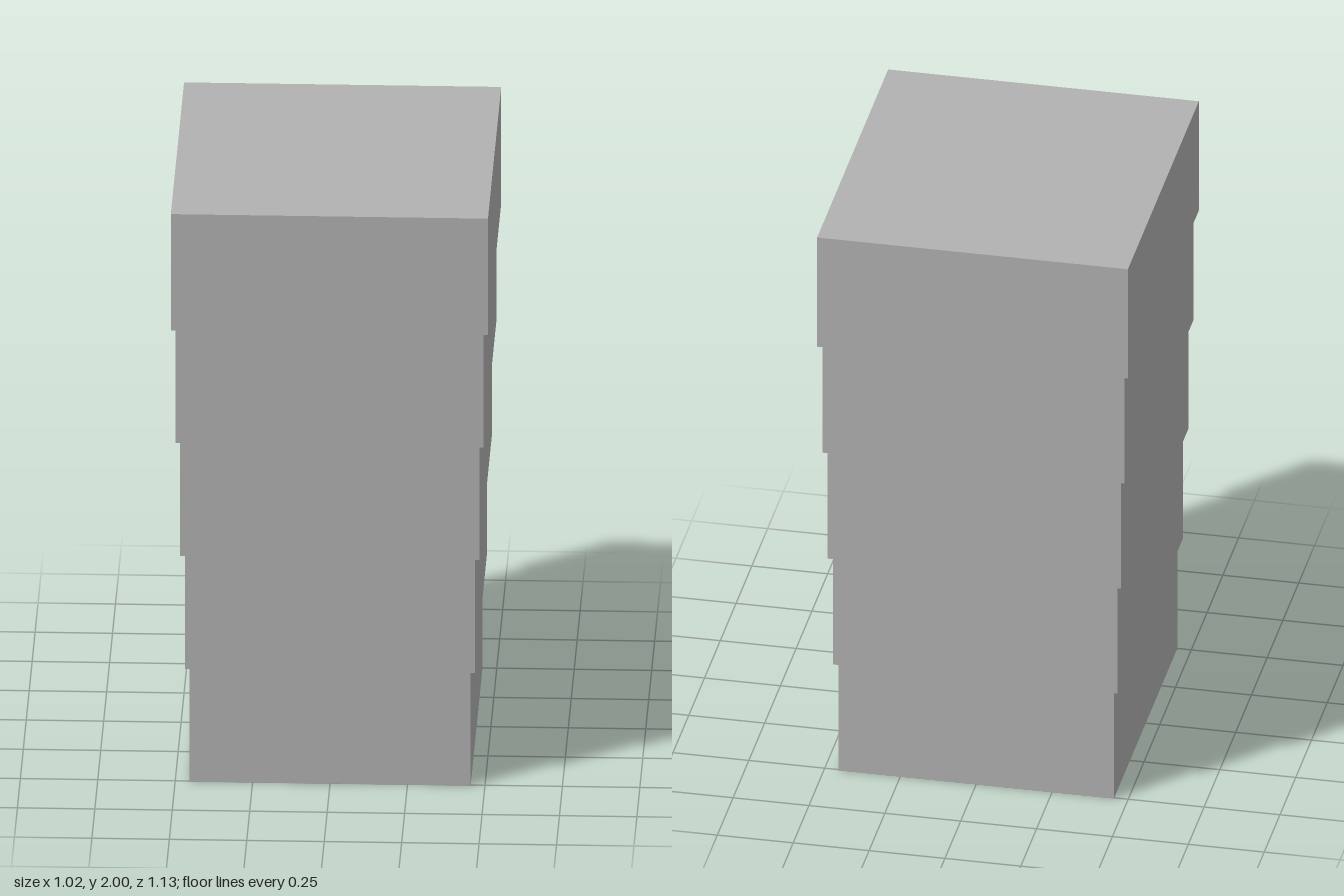
import * as THREE from 'three';

export function createModel() {
  const group = new THREE.Group();
  group.name = 'steppedTower';
  const grey = new THREE.MeshStandardMaterial({ color: 0xb2b2b2 });
  grey.name = 'grey';

  // Five stacked blocks, each slightly wider than the one below and overlapping it a little
  const count = 5, pitch = 0.3988, height = 2 - pitch * (count - 1);
  for (let i = 0; i < count; i++) {
    const width = 0.908 + 0.029 * i;
    const depth = 1.01 + 0.0288 * i;
    const block = new THREE.Mesh(new THREE.BoxGeometry(width, height, depth), grey);
    block.name = `block${i + 1}`;
    block.position.y = i * pitch + height / 2;
    group.add(block);
  }
  return group;
}
